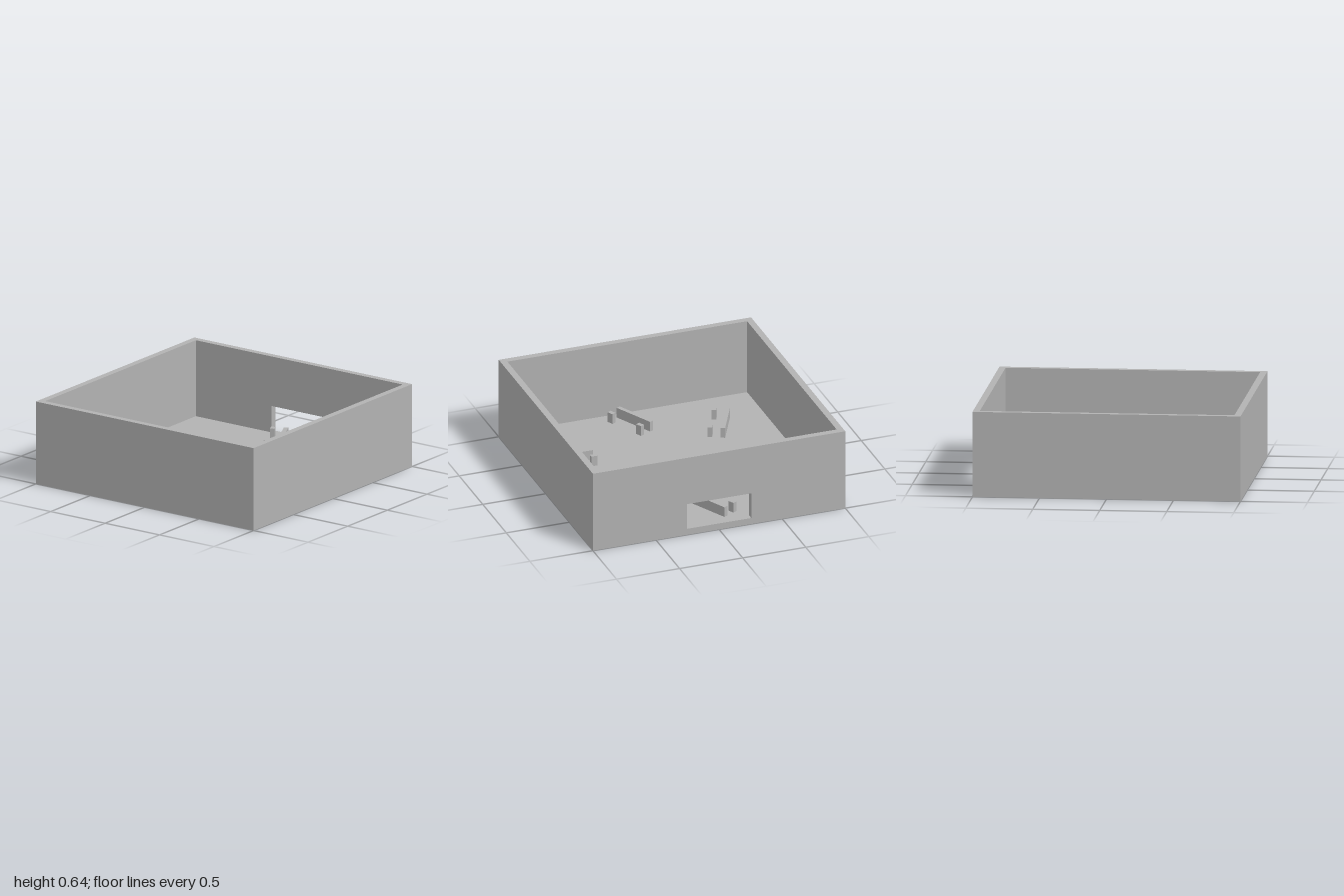
import * as THREE from 'three';

const WALL = 0.05, HEIGHT = 0.64, INNER = 2 - 2 * WALL;

export function createModel() {
  const model = new THREE.Group();
  model.name = 'openTray';
  const grey = new THREE.MeshStandardMaterial({ color: 0xb2b2b2 });
  grey.name = 'plain grey';

  const box = (parent, name, w, h, d, x, y, z) => {
    const mesh = new THREE.Mesh(new THREE.BoxGeometry(w, h, d), grey);
    mesh.name = name;
    mesh.position.set(x, y, z);
    parent.add(mesh);
  };

  // Floor and the three solid walls
  const mid = 1 - WALL / 2;
  box(model, 'floor', INNER, WALL, INNER, 0, WALL / 2, 0);
  box(model, 'frontWall', 2, HEIGHT, WALL, 0, HEIGHT / 2, mid);
  box(model, 'leftWall', WALL, HEIGHT, INNER, mid, HEIGHT / 2, 0);
  box(model, 'rightWall', WALL, HEIGHT, INNER, -mid, HEIGHT / 2, 0);

  // Back wall with a rectangular opening at floor level
  const rect = (Type, x, y0, y1) => new Type([
    new THREE.Vector2(-x, y0), new THREE.Vector2(x, y0),
    new THREE.Vector2(x, y1), new THREE.Vector2(-x, y1),
  ]);
  const outline = rect(THREE.Shape, 1, 0, HEIGHT);
  outline.holes.push(rect(THREE.Path, 0.255, WALL, 0.255));
  const backWall = new THREE.Mesh(
    new THREE.ExtrudeGeometry(outline, { depth: WALL, bevelEnabled: false }), grey);
  backWall.name = 'backWall';
  backWall.position.z = -1;
  model.add(backWall);

  // Six holders, each a long rail with two short posts, turned about the centre
  const step = Math.atan2(2, 1), h = 0.08, y = WALL + h / 2;
  for (const turn of [0, step, Math.PI - step]) {
    for (const half of [0, Math.PI]) {
      const holder = new THREE.Group();
      holder.name = 'holder';
      holder.rotation.y = -(turn + half);
      box(holder, 'rail', 0.34, h, 0.033, -0.68, y, -0.326);
      for (const x of [-0.825, -0.535]) box(holder, 'post', 0.05, h, 0.034, x, y, -0.228);
      model.add(holder);
    }
  }
  return model;
}
